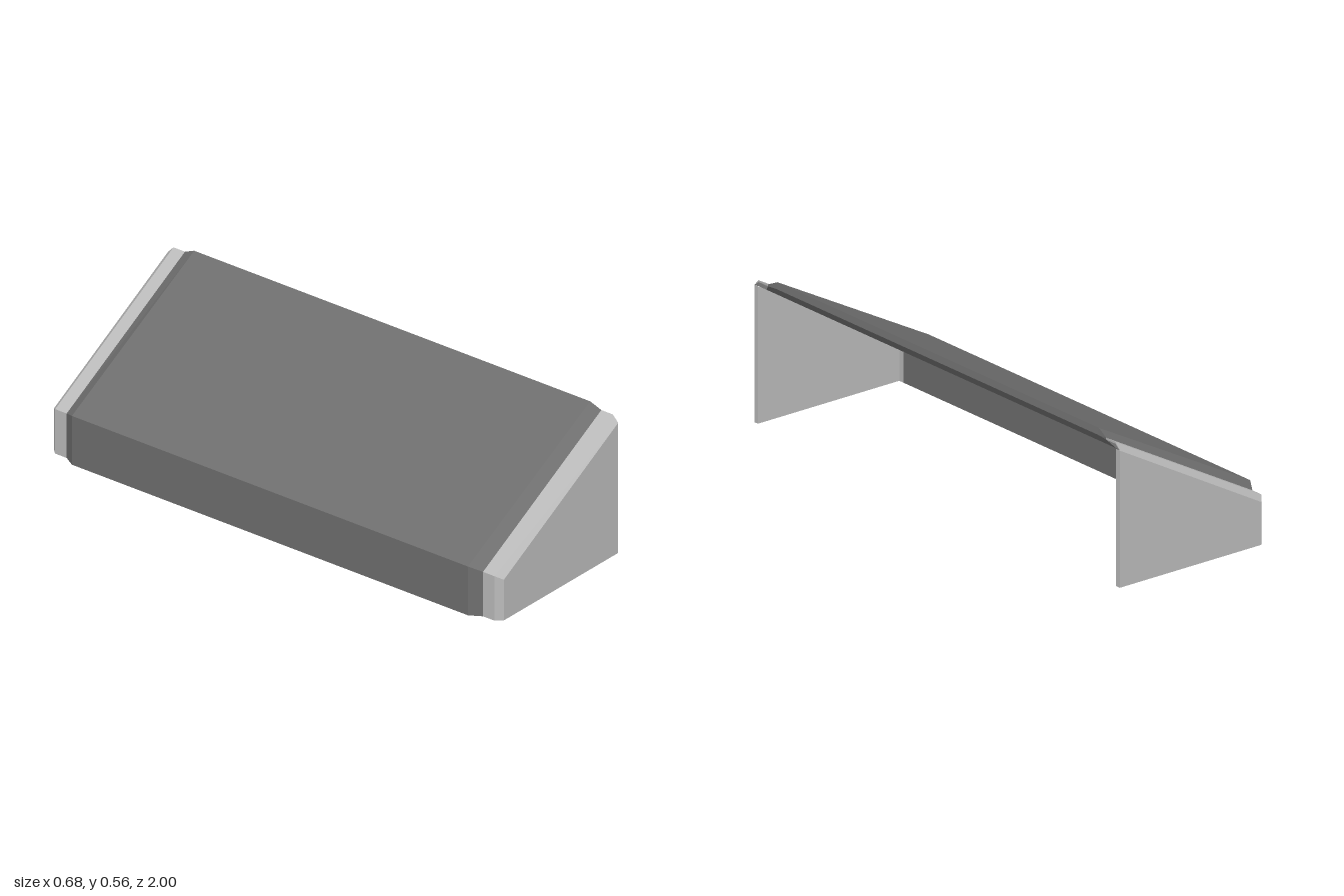
import * as THREE from 'three';

const lightGrey = new THREE.MeshStandardMaterial({ color: 0xbababa });
lightGrey.name = 'light grey';
const darkGrey = new THREE.MeshStandardMaterial({ color: 0x6e6e6e });
darkGrey.name = 'dark grey';

// Outer lines (front wall foot, eave, roof end, lower rim) of the three shell levels
const CHEEK = [[-0.293, 0], [-0.293, 0.16], [0.34, 0.512], [0.34, 0.512]];
const BRACKET = [[-0.315, 0], [-0.315, 0.175], [0.34, 0.537], [0.34, 0.53]];
const CANOPY = [[-0.342, 0], [-0.342, 0.192], [0.335, 0.558], [0.34, 0.534]];
// Inner line, running back down
const INNER = [[0.32, 0.502], [-0.293, 0.16], [-0.293, 0]];

// Closed cross-section: outer line at zOut, inner line at zIn
function ring(outer, zOut, zIn = zOut) {
  return [
    ...outer.map(([x, y]) => new THREE.Vector3(x, y, zOut)),
    ...INNER.map(([x, y]) => new THREE.Vector3(x, y, zIn)),
  ];
}

// Flat-faced skin through cross-sections in order of rising z
function loft(name, rings, material) {
  const points = [];
  for (let s = 0; s < rings.length - 1; s++) {
    const r0 = rings[s], r1 = rings[s + 1];
    for (let i = 0; i < r0.length; i++) {
      const j = (i + 1) % r0.length;
      points.push(r0[i], r1[i], r1[j], r0[i], r1[j], r0[j]);
    }
  }
  const geometry = new THREE.BufferGeometry().setFromPoints(points);
  geometry.computeVertexNormals();
  const mesh = new THREE.Mesh(geometry, material);
  mesh.name = name;
  return mesh;
}

export function createModel() {
  const model = new THREE.Group();
  model.name = 'awning';

  // Sloped roof and front wall, chamfered towards both ends
  model.add(loft('canopy', [
    ring(BRACKET, -0.925, -0.957),
    ring(CANOPY, -0.88),
    ring(CANOPY, 0.88),
    ring(BRACKET, 0.925, 0.957),
  ], darkGrey));

  // Side cheek outline
  const outline = new THREE.Shape([
    [-0.293, 0], [0.34, 0], [0.34, 0.512], [-0.293, 0.16],
  ].map(([x, y]) => new THREE.Vector2(x, y)));

  for (const side of [-1, 1]) {
    const label = side > 0 ? 'front' : 'back';

    // Chamfered frame around the cheek
    const rings = [
      ring(BRACKET, side * 0.925, side * 0.957),
      ring(BRACKET, side * 0.976),
      ring(CHEEK, side),
    ];
    if (side < 0) rings.reverse();
    model.add(loft(label + 'EndFrame', rings, lightGrey));

    // Thin cheek panel
    const cheek = new THREE.Mesh(
      new THREE.ExtrudeGeometry(outline, { depth: 0.02, bevelEnabled: false }), lightGrey);
    cheek.position.z = side > 0 ? 0.98 : -1;
    cheek.name = label + 'Cheek';
    model.add(cheek);
  }
  return model;
}
